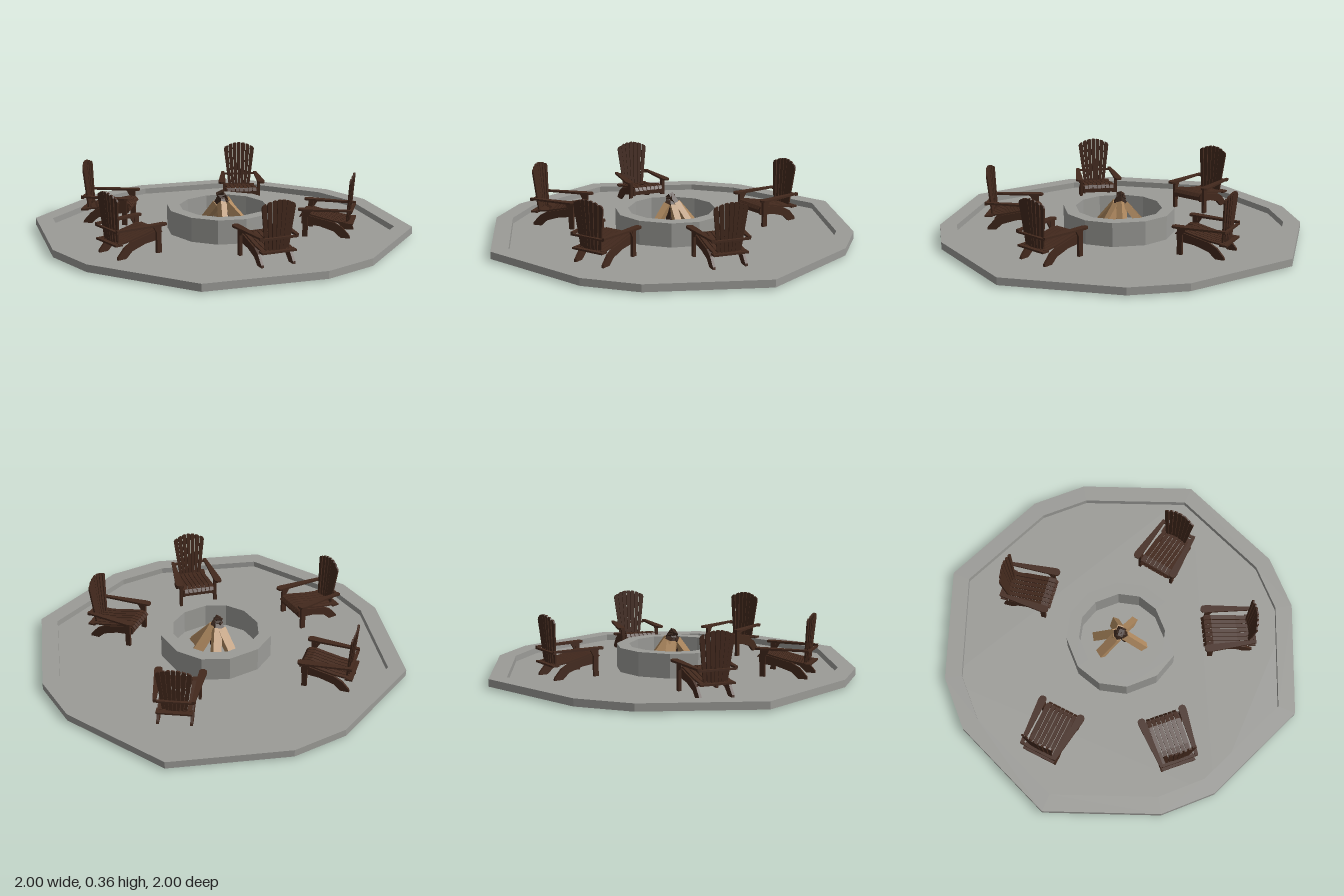
import * as THREE from 'three';

const mat = (name, color) => {
  const m = new THREE.MeshStandardMaterial({ color });
  m.name = name;
  return m;
};

export function createModel() {
  const stone = mat('grey stone', 0x9b9b97);
  const wood = mat('dark stained wood', 0x43291d);
  const logWood = mat('split log wood', 0xb08a60);
  const char = mat('charred wood', 0x3a271d);

  const add = (parent, name, geometry, material) => {
    const m = new THREE.Mesh(geometry, material);
    m.name = name;
    parent.add(m);
    return m;
  };
  const shapeOf = (pts) => new THREE.Shape(pts.map(([x, y]) => new THREE.Vector2(x, y)));
  const extrude = (shape, depth) => new THREE.ExtrudeGeometry(shape, { depth, bevelEnabled: false });
  // Flat board lying down: outline in x, z
  const slab = (shape, bottom, top) =>
    extrude(shape, top - bottom).rotateX(Math.PI / 2).translate(0, top, 0);
  // Upright board seen from the side: outline in z, y, centred on x
  const sideBoard = (pts, width, x) =>
    extrude(shapeOf(pts), width).rotateY(-Math.PI / 2).translate(x + width / 2, 0, 0);

  // Twelve-sided outline shared by terrace and fire ring
  const outline = (long, corner, short) => {
    const pts = [];
    for (let q = 0; q < 4; q++) {
      const c = Math.round(Math.cos(q * Math.PI / 2)), s = Math.round(Math.sin(q * Math.PI / 2));
      for (const [x, y] of [[long, -short], [long, short], [corner, corner]]) {
        pts.push([x * c - y * s, x * s + y * c]);
      }
    }
    return pts;
  };
  const frame = (outer, inner) => {
    const s = shapeOf(outer);
    s.holes.push(shapeOf(inner));
    return s;
  };

  const model = new THREE.Group();
  model.name = 'firePitTerrace';

  // Terrace floor with raised rim
  const edge = outline(1, 0.75, 0.157);
  add(model, 'terraceFloor', slab(shapeOf(edge), 0.01, 0.016), stone);
  add(model, 'terraceRim', slab(frame(edge, outline(0.907, 0.68, 0.137)), 0.016, 0.05), stone);

  // Fire ring
  const ring = slab(frame(outline(0.299, 0.224, 0.09), outline(0.232, 0.174, 0.07)), 0.008, 0.15);
  add(model, 'fireRing', ring, stone).position.set(0.005, 0, 0.012);

  // Leaning split logs with charred tips
  const logs = new THREE.Group();
  logs.name = 'logPile';
  model.add(logs);
  const feet = [
    [-0.022, -0.13, 0.052], [0.085, -0.12, 0.05], [0.125, 0.012, 0.055],
    [0.09, 0.115, 0.05], [-0.075, 0.115, 0.045], [0.005, 0.04, 0.035],
  ];
  feet.forEach(([x, z, w], i) => {
    const foot = new THREE.Vector3(x, 0.035, z);
    const tip = new THREE.Vector3(-x * 0.1, 0.205 + (i % 3) * 0.01, -z * 0.1);
    const length = foot.distanceTo(tip);
    const log = new THREE.Group();
    log.name = 'log' + (i + 1);
    log.position.copy(foot);
    log.up.set(0, 1, 0);
    log.lookAt(tip);
    const split = length * 0.74;
    const d = 0.036;
    add(log, 'logBody', new THREE.BoxGeometry(w, d, split).translate(0, 0, split / 2), i === 5 ? char : logWood);
    add(log, 'logTip', new THREE.BoxGeometry(w * 0.75, d * 0.8, length - split)
      .translate(0, 0, (length + split) / 2), char);
    log.rotateZ(i * 0.5);
    logs.add(log);
  });

  // Slatted garden armchair facing +z
  function makeChair() {
    const chair = new THREE.Group();
    chair.name = 'chair';

    // Seat slats, dipping towards the back
    const top = [[0.145, 0.118], [0.13, 0.136], [0.09, 0.14], [0.03, 0.126], [-0.05, 0.109], [-0.125, 0.1]];
    const under = top.map(([z, y], i) => [z - (i === 0 ? 0.009 : 0), y - (i === 0 ? 0 : 0.009)]).reverse();
    for (let i = -3; i <= 3; i++) {
      add(chair, 'seatSlat', sideBoard([...top, ...under], 0.0215, i * 0.0255), wood);
    }

    // Fanned back slats with an arched top
    const back = new THREE.Group();
    back.name = 'backrest';
    back.position.set(0, 0.085, -0.122);
    back.rotation.x = -0.075;
    chair.add(back);
    for (let i = -3; i <= 3; i++) {
      const b = i * 0.0185, t = i * 0.027, h = 0.276 - 0.0026 * i * i;
      const lower = h - 0.006;
      const slope = -0.0045 * i;
      const pts = [
        [b - 0.008, 0], [b + 0.008, 0], [t + 0.0118, lower + slope * 0.7],
        [t + 0.007, h + slope * 0.3], [t - 0.007, h - slope * 0.3], [t - 0.0118, lower - slope * 0.7],
      ];
      add(back, 'backSlat', extrude(shapeOf(pts), 0.009).translate(0, 0, -0.0045 + 0.001 * i * i), wood);
    }

    // Cross rails behind the back and below the front of the seat
    add(chair, 'lowerRail', new THREE.BoxGeometry(0.19, 0.01, 0.042), wood).position.set(0, 0.093, -0.129);
    add(chair, 'armRail', new THREE.BoxGeometry(0.21, 0.01, 0.016), wood).position.set(0, 0.163, -0.138);
    add(chair, 'frontRail', new THREE.BoxGeometry(0.19, 0.035, 0.01), wood).position.set(0, 0.108, 0.125);

    for (const s of [1, -1]) {
      // Sloping side board that becomes the rear leg
      const side = [
        [0.128, 0.13], [0.09, 0.131], [0.03, 0.117], [-0.05, 0.1], [-0.095, 0.075],
        [-0.135, 0.03], [-0.14, 0], [-0.105, 0], [-0.05, 0.05], [0.03, 0.075], [0.128, 0.085],
      ];
      add(chair, 'sideBoard', sideBoard(side, 0.014, s * 0.088), wood);
      // Front post
      add(chair, 'frontLeg', new THREE.BoxGeometry(0.016, 0.165, 0.028), wood).position.set(s * 0.104, 0.0825, 0.107);
      // Splayed armrest
      const arm = [
        [0.09, -0.145], [0.108, -0.145], [0.139, 0.115], [0.137, 0.135],
        [0.126, 0.145], [0.108, 0.145], [0.098, 0.135], [0.095, 0.08],
      ].map(([x, z]) => [x * s, z]);
      add(chair, 'armrest', slab(shapeOf(arm), 0.165, 0.176), wood);
      // Arm bracket
      add(chair, 'armBracket', sideBoard([[0.093, 0.165], [0.093, 0.125], [0.07, 0.165]], 0.01, s * 0.106), wood);
    }
    return chair;
  }

  // Five chairs around the fire: x, z, heading in degrees
  const places = [
    [-0.647, 0.034, 88], [-0.369, -0.552, 41], [0.465, -0.373, -37],
    [0.396, 0.44, -143], [-0.182, 0.58, 163],
  ];
  for (const [x, z, heading] of places) {
    const chair = makeChair();
    chair.position.set(x, 0, z);
    chair.rotation.y = THREE.MathUtils.degToRad(heading);
    model.add(chair);
  }
  return model;
}
